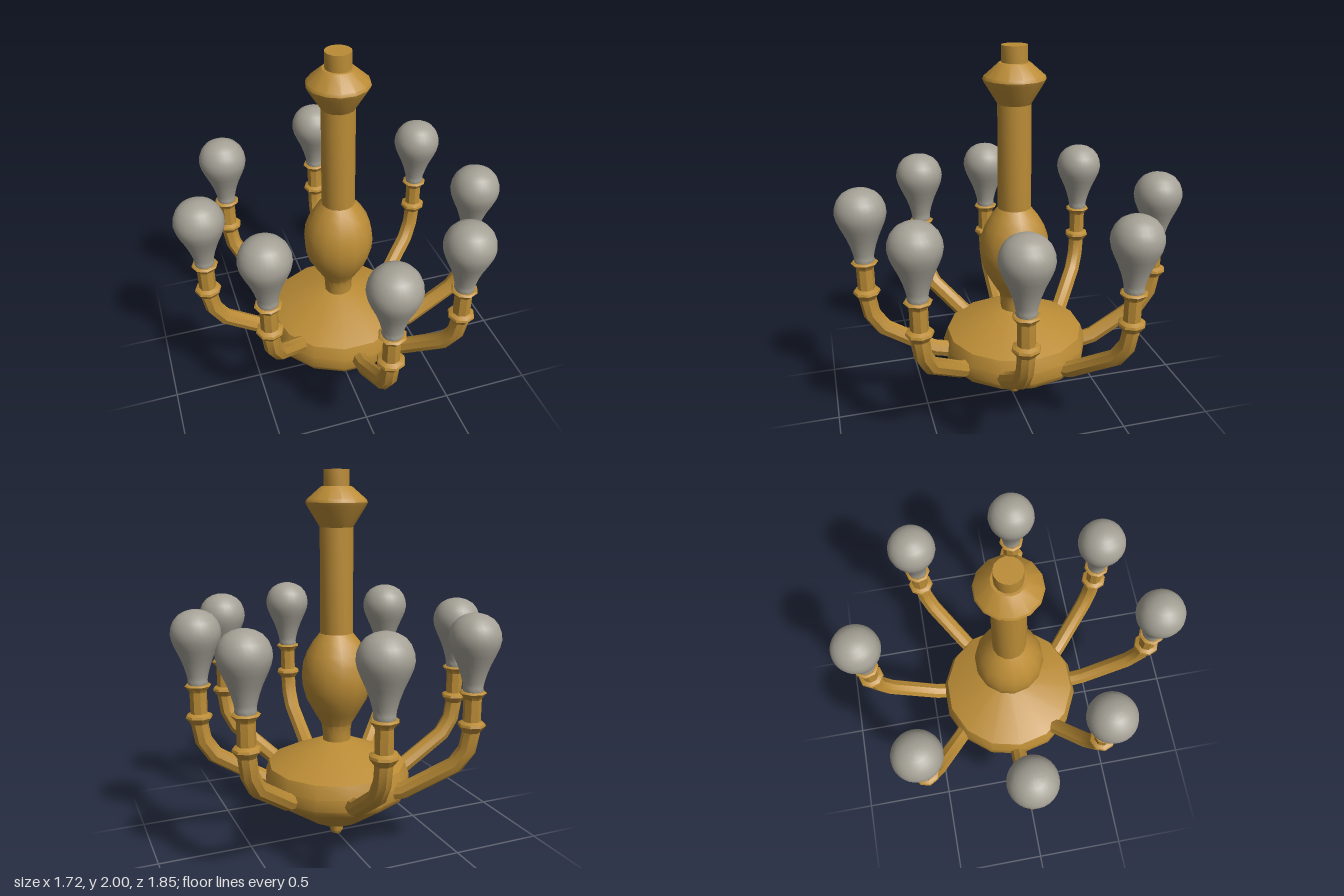
import * as THREE from 'three';
import { toCreasedNormals } from 'three/addons/utils/BufferGeometryUtils.js';

const brass = new THREE.MeshStandardMaterial({ color: 0xbb8c36 });
brass.name = 'brass';
const glass = new THREE.MeshStandardMaterial({ color: 0xa5a196 });
glass.name = 'frosted glass';

// Turned part from [radius, height] pairs, listed bottom to top
function turned(name, profile, sides, crease, material, phi = 0) {
  const pts = profile.map(([r, y]) => new THREE.Vector2(r, y));
  const geo = toCreasedNormals(new THREE.LatheGeometry(pts, sides, phi), crease);
  const mesh = new THREE.Mesh(geo, material);
  mesh.name = name;
  return mesh;
}

// Straight-sided path with mitred bends, used for the arm tubes
class BentPath extends THREE.Curve {
  constructor(points) {
    super();
    this.points = points;
  }
  at(i) {
    return this.points[Math.min(Math.max(i, 0), this.points.length - 1)];
  }
  getPointAt(u, target = new THREE.Vector3()) {
    return target.copy(this.at(Math.round(u * (this.points.length - 1))));
  }
  getTangentAt(u, target = new THREE.Vector3()) {
    const i = Math.round(u * (this.points.length - 1));
    const before = this.at(i).clone().sub(this.at(i - 1)).normalize();
    const after = this.at(i + 1).clone().sub(this.at(i)).normalize();
    return target.copy(before).add(after).normalize();
  }
}

// One arm with its collars and bulb; origin at the top of the cup, arm runs inward along +x
function createArm() {
  const arm = new THREE.Group();
  const path = [[0.47, -0.605], [0.34, -0.572], [0.075, -0.4], [0.017, -0.31], [0, -0.21], [0, -0.02]];
  const curve = new BentPath(path.map(([x, y]) => new THREE.Vector3(x, y, 0)));
  const tubeGeo = toCreasedNormals(new THREE.TubeGeometry(curve, path.length - 1, 0.046, 8), 0.5);
  const tube = new THREE.Mesh(tubeGeo, brass);
  tube.name = 'armTube';

  const ring = turned('armRing',
    [[0.042, -0.22], [0.072, -0.18], [0.068, -0.168], [0.042, -0.155]], 8, 0.5, brass);
  const cup = turned('bulbCup',
    [[0.042, -0.055], [0.048, -0.035], [0.071, -0.008], [0.06, 0], [0, 0]], 8, 0.5, brass);
  const bulb = turned('bulb', [
    [0.048, -0.005], [0.053, 0.008], [0.051, 0.02], [0.055, 0.045], [0.067, 0.09], [0.085, 0.14],
    [0.108, 0.19], [0.124, 0.23], [0.131, 0.265], [0.127, 0.3], [0.113, 0.335],
    [0.089, 0.364], [0.058, 0.382], [0.028, 0.391], [0, 0.393],
  ], 28, 1, glass);
  arm.add(tube, ring, cup, bulb);
  return arm;
}

export function createModel() {
  const model = new THREE.Group();
  model.name = 'chandelier';

  // Central body, stacked from the finial up to the ceiling mount
  const body = new THREE.Group();
  body.name = 'centralBody';
  body.position.z = -0.015;
  const part = (name, profile) => body.add(turned(name, profile, 14, 0.5, brass, Math.PI / 2));
  part('finial', [[0, 0], [0.026, 0], [0.037, 0.02], [0.037, 0.11]]);
  part('bowl', [[0, 0.1], [0.15, 0.1], [0.385, 0.262], [0.402, 0.295], [0.402, 0.36],
    [0.378, 0.43], [0.08, 0.56], [0, 0.56]]);
  part('column', [[0.076, 0.55], [0.076, 0.6], [0.083, 0.65], [0.125, 0.72], [0.165, 0.79], [0.184, 0.86],
    [0.189, 0.92], [0.181, 0.99], [0.16, 1.05], [0.125, 1.11], [0.089, 1.155], [0.087, 1.72]]);
  part('capital', [[0.087, 1.71], [0.155, 1.82], [0.161, 1.835], [0.155, 1.85],
    [0.08, 1.915], [0, 1.92]]);
  part('mount', [[0.067, 1.9], [0.067, 2], [0, 2]]);
  model.add(body);

  // Arms: cup position x, z, cup height, and inward direction dx, dz
  const arms = [
    [0.1, -0.8, 0.915, -0.08, 1],
    [0.63, -0.44, 0.903, -0.78, 0.62],
    [0.725, 0.13, 0.91, -1, 0],
    [0.47, 0.585, 0.918, -0.71, -0.71],
    [0, 0.79, 0.937, 0, -1],
    [-0.5, 0.415, 0.942, 0.71, -0.71],
    [-0.735, -0.03, 0.908, 1, 0],
    [-0.51, -0.565, 0.918, 0.79, 0.61],
  ];
  arms.forEach(([x, z, y, dx, dz], i) => {
    const arm = createArm();
    arm.name = `arm${i + 1}`;
    arm.position.set(x, y, z);
    arm.rotation.y = Math.atan2(-dz, dx);
    model.add(arm);
  });
  return model;
}
